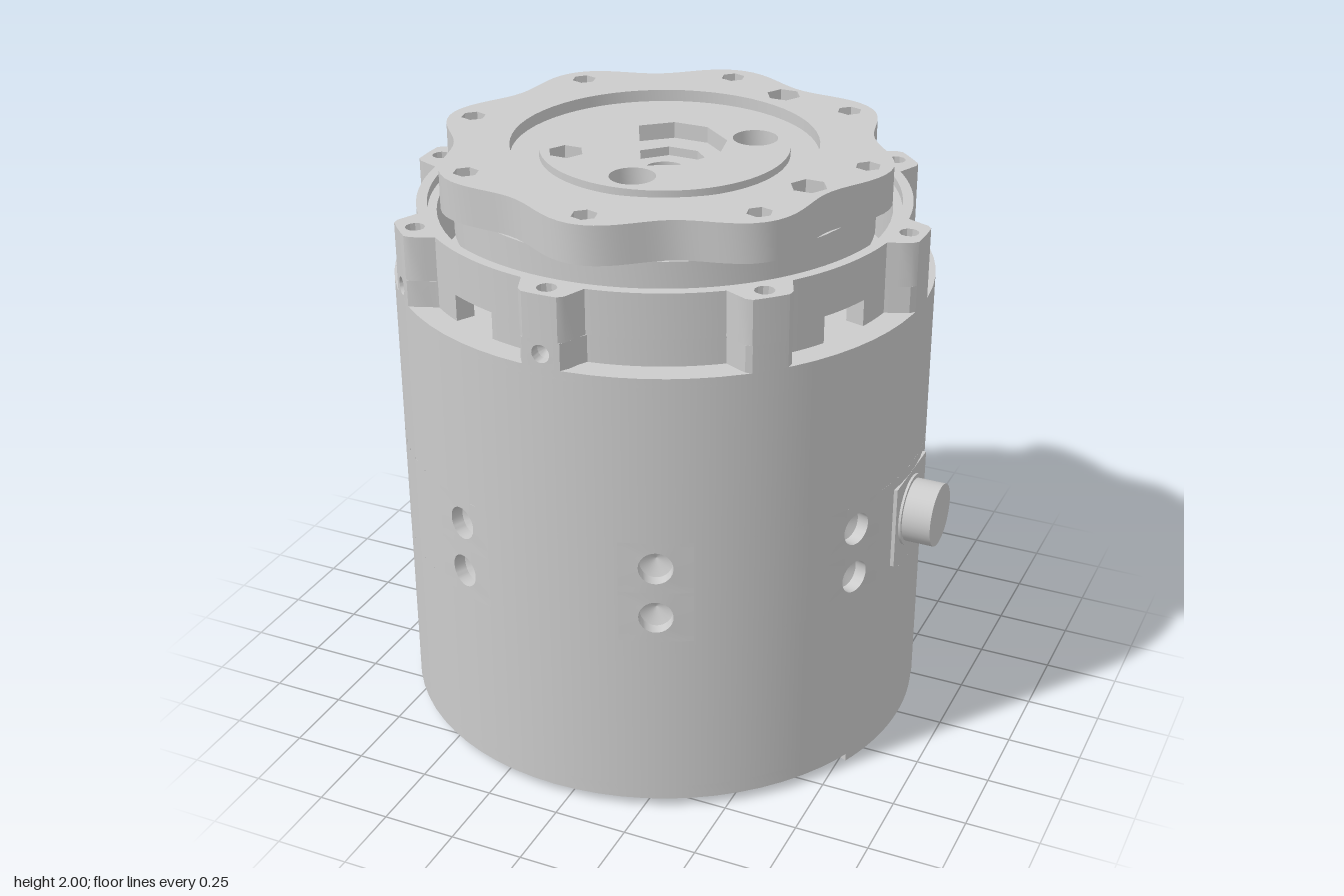
import * as THREE from 'three';
import { toCreasedNormals } from 'three/addons/utils/BufferGeometryUtils.js';
import { ParametricGeometry } from 'three/addons/geometries/ParametricGeometry.js';

const R = 0.9, AXIS_X = -0.055, EIGHTH = Math.PI / 4, HALF = Math.PI / 8;
const mat = new THREE.MeshStandardMaterial({ color: 0xcccccc, side: THREE.DoubleSide });
const polar = (r, a) => new THREE.Vector2(r * Math.cos(a), r * Math.sin(a));
const eight = (f) => Array.from({ length: 8 }, (_, i) => f(i * EIGHTH, i));

export function createModel() {
  const model = new THREE.Group();
  const motor = new THREE.Group();
  motor.name = 'housing';
  motor.position.x = AXIS_X;
  model.add(motor);

  const add = (name, geo, x = 0, y = 0, z = 0) => {
    const mesh = new THREE.Mesh(geo, mat);
    mesh.name = name;
    mesh.position.set(x, y, z);
    motor.add(mesh);
    return mesh;
  };

  // Flat plate: shape drawn in x/z, extruded down from its top height
  const slab = (name, shape, top, h) => {
    const geo = new THREE.ExtrudeGeometry(shape, { depth: h, bevelEnabled: false, curveSegments: 32 });
    add(name, toCreasedNormals(geo.rotateX(Math.PI / 2), 0.5), 0, top, 0);
  };
  const ngon = (r, n, x = 0, z = 0, turn = 0) =>
    Array.from({ length: n }, (_, i) => polar(r, turn + (i / n) * Math.PI * 2).add(new THREE.Vector2(x, z)));
  const cut = (shape, ...outlines) => {
    outlines.forEach((pts) => shape.holes.push(new THREE.Path(pts)));
    return shape;
  };
  const disc = (r, ...holes) => cut(new THREE.Shape(ngon(r, 72)), ...holes);

  // Ring sector whose outer radius may follow a rule
  const sector = (a0, a1, inner, outer) => {
    const n = Math.max(4, Math.ceil((a1 - a0) / 0.022));
    const out = [], back = [];
    for (let i = 0; i <= n; i++) {
      const a = a0 + ((a1 - a0) * i) / n;
      out.push(polar(outer(a), a));
      back.unshift(polar(inner, a));
    }
    return new THREE.Shape([...out, ...back]);
  };

  // Curved square of wall with a blind round hole in its middle
  const drilledPatch = (name, a, y, hw, hh, rho, depth) => {
    const geo = new ParametricGeometry((u, v, p) => {
      const t = u * Math.PI * 2, c = Math.cos(t), s = Math.sin(t);
      const row = Math.round(v * 3), k = 1 / Math.max(Math.abs(c), Math.abs(s));
      const sx = row === 3 ? c * k * hw : row ? c * rho : 0;
      const sy = row === 3 ? s * k * hh : row ? s * rho : 0;
      const r = row === 0 ? R - depth : row === 1 ? R - depth * 0.6 : R;
      p.set(r * Math.cos(a + sx / R), y + sy, r * Math.sin(a + sx / R));
    }, 32, 3);
    add(name, toCreasedNormals(geo, 0.6));
  };
  const tube = (name, r, y0, y1, start = 0, len = Math.PI * 2, seg = 72) =>
    add(name, new THREE.CylinderGeometry(r, r, y1 - y0, seg, 1, true, start, len), 0, (y0 + y1) / 2, 0);

  // Outer shell with a band of paired screw holes
  tube('lowerShell', R, 0.03, 0.65);
  tube('upperShell', R, 1.01, 1.58);
  const hw = 0.12;
  eight((a) => {
    const len = EIGHTH - (2 * hw) / R;
    tube('shellBand', R, 0.65, 1.01, a - len / 2, len, 7);
    for (const y of [0.74, 0.92]) drilledPatch('screwHole', a + HALF, y, hw, 0.09, 0.056, 0.07);
  });

  // Base with eight windows, central well and inner walls
  const windows = eight((a) => {
    const c = a + HALF, pts = [];
    for (let i = -5; i <= 5; i++) pts.push(polar(0.84, c + i * 0.062));
    return [...pts, polar(0.62, c + 0.28), polar(0.48, c + 0.13), polar(0.48, c - 0.13), polar(0.62, c - 0.28)];
  });
  slab('basePlate', disc(R, ngon(0.41, 48), ...windows), 0.08, 0.05);
  slab('baseCover', sector(-3 * HALF, HALF, 0.41, () => R - 0.003), 0.03, 0.03);
  tube('innerLining', 0.83, 0.08, 1);
  tube('centreWell', 0.41, 0.08, 1);
  slab('wellCeiling', disc(0.41), 0.24, 0.02);
  slab('innerCeiling', disc(0.83), 1.02, 0.02);
  slab('shellTop', disc(R), 1.58, 0.03);

  // Collar: eight lugs with pockets between them
  const lugRadius = (a) => {
    const d = Math.abs(a - Math.round(a / EIGHTH) * EIGHTH);
    return d < 0.079 ? R : 0.815 + (R - 0.815) * Math.max(0, 1 - (d - 0.079) / 0.05);
  };
  for (let k = 0; k < 4; k++) {
    const a0 = HALF + k * 2 * EIGHTH;
    const bolts = [1, 3].map((i) => polar(0.845, a0 + i * HALF)).map((p) => ngon(0.032, 12, p.x, p.y));
    slab('collar', cut(sector(a0, a0 + 2 * EIGHTH, 0.78, lugRadius), ...bolts), 1.82, 0.15);
  }
  // Lower layer of the collar, broken by windows and side-drilled lugs
  const drilled = [2, 3, 5, 6].map((i) => i * EIGHTH);
  const gaps = [0, 1, 2, 3, 4].map((k) => ({ a: HALF + k * 2 * EIGHTH, w: 0.11 }))
    .concat(drilled.map((a) => ({ a, w: 0.05 }))).sort((p, q) => p.a - q.a);
  for (let i = 0; i < gaps.length - 1; i++)
    slab('collarFoot', sector(gaps[i].a + gaps[i].w, gaps[i + 1].a - gaps[i + 1].w, 0.75, lugRadius), 1.67, 0.09);
  drilled.forEach((a) => {
    drilledPatch('lugHole', a, 1.625, 0.045, 0.045, 0.03, 0.06);
    slab('lugBacking', sector(a - 0.05, a + 0.05, 0.75, () => 0.83), 1.67, 0.09);
  });
  slab('collarStep', disc(0.79, ngon(0.75, 72)), 1.79, 0.12);

  // Rotating head below the flange
  slab('hub', disc(0.55), 1.75, 0.17);
  slab('neck', disc(0.695), 1.87, 0.15);

  // Scalloped output flange with socket holes
  const turn = -0.07, outline = [];
  for (let i = 0; i < 128; i++) {
    const a = (i / 128) * Math.PI * 2;
    outline.push(polar(0.725 + 0.04 * Math.cos(8 * (a - turn)), a));
  }
  const sockets = eight((a) => polar(0.685, a + turn)).map((p) => ngon(0.042, 6, p.x, p.y, 0.3));
  slab('flange', cut(new THREE.Shape(outline), ngon(0.505, 64), ...sockets,
    ngon(0.06, 6, 0.185, -0.58), ngon(0.06, 6, 0.575, 0.19)), 2, 0.13);
  for (const [x, z] of [[0.185, -0.58], [0.575, 0.19], [-0.265, 0.19]])
    slab('socketSeat', cut(new THREE.Shape(ngon(0.062, 6, x, z)), ngon(0.033, 12, x, z)), 1.94, 0.06);

  // Groove, centre disc and stepped bore
  slab('grooveFloor', disc(0.505, ngon(0.405, 64)), 1.96, 0.09);
  const bore = [[-0.155, -0.13], [-0.06, -0.21], [0.06, -0.21], [0.17, -0.12], [0.195, 0], [0.12, 0.15], [0.01, 0.205]]
    .map(([x, z]) => new THREE.Vector2(x, z));
  slab('centreDisc', disc(0.41, bore, ngon(0.075, 24, 0.245, -0.18), ngon(0.075, 24, 0.025, 0.3),
    ngon(0.06, 6, -0.265, 0.19)), 1.985, 0.085);
  slab('boreStep', disc(0.22, ngon(0.135, 8, 0.01, 0, HALF)), 1.93, 0.03);
  slab('boreFloor', disc(0.22, ngon(0.07, 24)), 1.9, 0.03);

  // Side connector on a square pad
  add('connectorPad', new THREE.BoxGeometry(0.06, 0.29, 0.295), 0.87, 0.83, 0);
  add('padTab', new THREE.BoxGeometry(0.03, 0.04, 0.02), 0.88, 0.83, -0.157);
  const side = (name, r, x0, x1) => add(name,
    new THREE.CylinderGeometry(r, r, x1 - x0, 32).rotateZ(Math.PI / 2), (x0 + x1) / 2, 0.83, 0);
  side('connectorRim', 0.122, 0.88, 0.908);
  side('connector', 0.108, 0.88, 1.005);
  return model;
}
